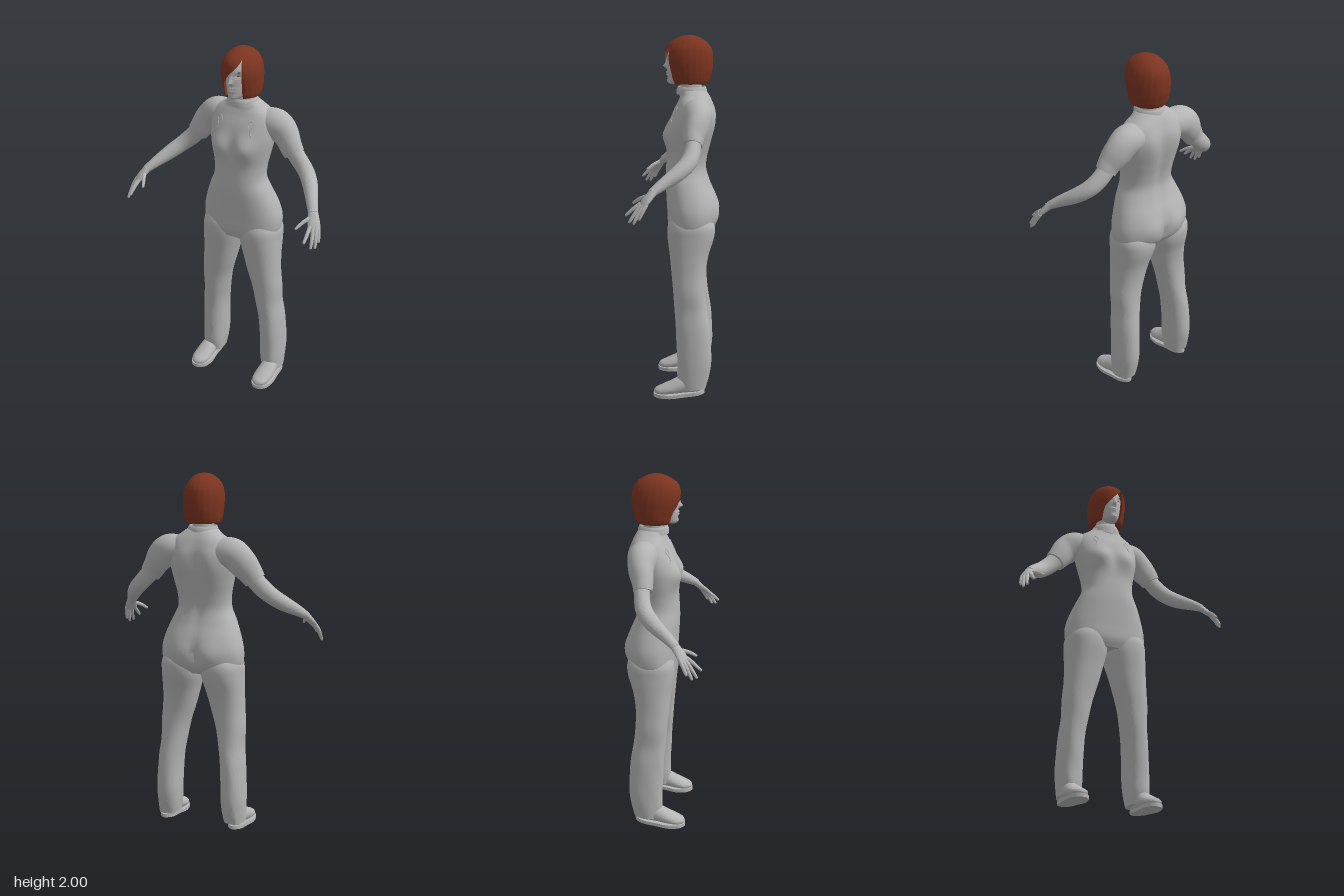
import * as THREE from 'three';
import { toCreasedNormals } from 'three/addons/utils/BufferGeometryUtils.js';

const mat = (name, color, side = THREE.FrontSide) => {
  const m = new THREE.MeshStandardMaterial({ color, side });
  m.name = name;
  return m;
};

// Smooth interpolation through the rows of a table, t in 0..1
function sample(rows, t) {
  const f = Math.min(Math.max(t, 0), 1) * (rows.length - 1);
  const i = Math.min(Math.floor(f), rows.length - 2), k = f - i;
  const at = j => rows[Math.min(Math.max(j, 0), rows.length - 1)];
  const [a, b, c, d] = [at(i - 1), at(i), at(i + 1), at(i + 2)];
  return b.map((_, n) => 0.5 * (2 * b[n] + (c[n] - a[n]) * k + (2 * a[n] - 5 * b[n] + 4 * c[n] - d[n]) * k * k
    + (3 * b[n] - a[n] - 3 * c[n] + d[n]) * k * k * k));
}

// Skin over rings of points: fn(u, v) -> [x, y, z]; closed rings get end caps
function skin(fn, nu, nv, closed = true) {
  const pos = [], idx = [], w = closed ? nu : nu + 1;
  for (let j = 0; j <= nv; j++) for (let i = 0; i < w; i++) pos.push(...fn(i / nu, j / nv));
  for (let j = 0; j < nv; j++) for (let i = 0; i < nu; i++) {
    const a = j * w + i, b = j * w + (i + 1) % w;
    idx.push(a, a + w, b, b, a + w, b + w);
  }
  if (closed) for (const j of [0, nv]) {
    const c = [0, 0, 0], n = pos.length / 3;
    for (let i = 0; i < w; i++) for (let k = 0; k < 3; k++) c[k] += pos[(j * w + i) * 3 + k] / w;
    pos.push(...c);
    for (let i = 0; i < w; i++) {
      const a = j * w + i, b = j * w + (i + 1) % w;
      if (j) idx.push(n, b, a); else idx.push(n, a, b);
    }
  }
  const g = new THREE.BufferGeometry();
  g.setAttribute('position', new THREE.Float32BufferAttribute(pos, 3));
  g.setIndex(idx);
  g.computeVertexNormals();
  return toCreasedNormals(g, 1);
}

const spow = (c, e) => Math.sign(c) * Math.abs(c) ** e;
const bump = (x, y, cx, cy, sx, sy) => Math.exp(-(((x - cx) / sx) ** 2) - ((y - cy) / sy) ** 2);

// Elliptical sweep: rows of x, y, z, radius upwards, radius sideways
function sweep(rows, nu = 24, nv = 30) {
  const up = new THREE.Vector3(0, 1, 0);
  return skin((u, v) => {
    const [x, y, z, r1, r2] = sample(rows, v);
    const p = sample(rows, v - 0.01), q = sample(rows, v + 0.01);
    const d = new THREE.Vector3(q[0] - p[0], q[1] - p[1], q[2] - p[2]).normalize();
    const s = d.clone().cross(up).normalize(), n = s.clone().cross(d), a = u * Math.PI * 2;
    return s.multiplyScalar(r2 * Math.cos(a)).addScaledVector(n, r1 * Math.sin(a))
      .add(new THREE.Vector3(x, y, z)).toArray();
  }, nu, nv);
}

// Mirrored copy across x with the winding put right
function mirror(geo) {
  const g = (geo.index ? geo.toNonIndexed() : geo.clone()).scale(-1, 1, 1);
  for (const key of ['position', 'normal']) {
    const a = g.attributes[key].array;
    for (let i = 0; i < a.length; i += 9) for (let k = 3; k < 6; k++)
      [a[i + k], a[i + k + 3]] = [a[i + k + 3], a[i + k]];
  }
  return g;
}

export function createModel() {
  const model = new THREE.Group();
  const grey = mat('bodyGrey', 0xb4b4b4);
  const red = mat('auburnHair', 0x7c3420, THREE.DoubleSide);
  const amber = mat('amberEye', 0xb0602c);
  const dark = mat('darkPupil', 0x2a2422);
  const add = (name, geo, m = grey) => {
    const mesh = new THREE.Mesh(geo, m);
    mesh.name = name;
    model.add(mesh);
    return mesh;
  };
  const pair = (name, geo, m) => {
    add(name + 'Left', geo, m);
    add(name + 'Right', mirror(geo), m);
  };

  // Torso: y, half width, front z, back z
  const torsoRows = [[0.91, 0.19, 0.03, -0.17], [0.96, 0.23, 0.05, -0.21], [1.04, 0.236, 0.055, -0.222],
    [1.12, 0.215, 0.06, -0.21], [1.2, 0.183, 0.064, -0.18], [1.27, 0.152, 0.062, -0.163],
    [1.34, 0.152, 0.058, -0.17], [1.42, 0.168, 0.058, -0.188], [1.5, 0.184, 0.052, -0.202],
    [1.58, 0.188, 0.025, -0.205], [1.64, 0.17, -0.005, -0.19], [1.68, 0.115, -0.02, -0.172], [1.71, 0.076, -0.012, -0.15]];
  const torso = add('torso', skin((u, v) => {
    const [y, w, f, b] = sample(torsoRows, v), a = u * Math.PI * 2;
    const x = w * spow(Math.cos(a), 0.87), s = spow(Math.sin(a), 0.87);
    let z = (f + b) / 2 + s * (f - b) / 2;
    const ax = Math.abs(x);
    if (s > 0) z += s * (0.03 * bump(ax, y, 0.085, 1.46, 0.06, 0.06) - 0.008 * bump(ax, y, 0, 1.47, 0.03, 0.08));
    else z += s * (0.02 * bump(ax, y, 0.09, 1.03, 0.07, 0.08) + 0.016 * bump(ax, y, 0.09, 1.54, 0.05, 0.09)
      - 0.012 * bump(ax, y, 0, 1.4, 0.025, 0.2) - 0.015 * bump(ax, y, 0, 1.0, 0.02, 0.09));
    return [x, y, z];
  }, 72, 80));

  // Chest trim laid on the torso
  const ray = new THREE.Raycaster();
  torso.updateMatrixWorld();
  const trim = [[0.088, 1.58], [0.083, 1.6], [0.095, 1.615], [0.11, 1.605], [0.108, 1.585], [0.098, 1.57], [0.103, 1.55], [0.112, 1.54]];
  const trimPts = trim.map(([x, y]) => {
    ray.set(new THREE.Vector3(x, y, 1), new THREE.Vector3(0, 0, -1));
    const hit = ray.intersectObject(torso)[0];
    return new THREE.Vector3(x, y, hit ? hit.point.z : 0);
  });
  pair('chestTrim', new THREE.TubeGeometry(new THREE.CatmullRomCurve3(trimPts), 40, 0.003, 6));

  // Trouser legs: y, inner x, outer x, front z, back z
  const legRows = [[0.05, 0.145, 0.262, -0.02, -0.17], [0.12, 0.135, 0.265, -0.01, -0.188], [0.2, 0.13, 0.266, -0.01, -0.2],
    [0.3, 0.128, 0.262, -0.005, -0.198], [0.4, 0.122, 0.256, 0, -0.19], [0.5, 0.105, 0.246, 0.008, -0.175],
    [0.6, 0.085, 0.249, 0.015, -0.165], [0.7, 0.055, 0.242, 0.025, -0.165], [0.8, 0.028, 0.238, 0.035, -0.18],
    [0.9, 0.003, 0.236, 0.048, -0.21], [0.97, 0.003, 0.232, 0.046, -0.212], [1.03, 0.02, 0.2, 0.02, -0.18]];
  pair('trouserLeg', skin((u, v) => {
    const [y, i, o, f, b] = sample(legRows, v), a = u * Math.PI * 2;
    const fold = 1 + 0.025 * Math.max(0, 1 - y / 0.7) * Math.sin(5 * a + 14 * y) * Math.sin(9 * y + 1);
    return [(i + o) / 2 + fold * (o - i) / 2 * spow(Math.cos(a), 0.88), y,
      (f + b) / 2 + fold * (f - b) / 2 * spow(Math.sin(a), 0.88)];
  }, 48, 70));

  // Shoes: flat sole lifted at the heel, and a rounded upper
  const outline = [[0.212, 0.124], [0.255, 0.1], [0.27, 0.04], [0.262, -0.05], [0.25, -0.13], [0.212, -0.165],
    [0.175, -0.13], [0.166, -0.05], [0.154, 0.04], [0.17, 0.1]];
  const curve = new THREE.CatmullRomCurve3(outline.map(([x, z]) => new THREE.Vector3(x, -z, 0)), true);
  const soleShape = new THREE.Shape(curve.getPoints(48).slice(0, -1).map(p => new THREE.Vector2(p.x, p.y)));
  const sole = new THREE.ExtrudeGeometry(soleShape, { depth: 0.02, bevelEnabled: false }).rotateX(-Math.PI / 2);
  const sp = sole.attributes.position;
  for (let i = 0; i < sp.count; i++)
    sp.setY(i, sp.getY(i) + 0.02 * THREE.MathUtils.clamp((0.02 - sp.getZ(i)) / 0.18, 0, 1));
  sole.computeVertexNormals();
  pair('shoeSole', toCreasedNormals(sole, 0.7));
  pair('shoeUpper', sweep([[0.212, 0.06, -0.158, 0.02, 0.015], [0.212, 0.067, -0.13, 0.042, 0.036], [0.212, 0.07, -0.05, 0.05, 0.045],
    [0.212, 0.05, 0.02, 0.038, 0.053], [0.212, 0.036, 0.07, 0.028, 0.051], [0.212, 0.03, 0.103, 0.02, 0.036],
    [0.212, 0.025, 0.119, 0.008, 0.012]]));

  // Sleeves, arms and hands
  pair('sleeve', sweep([[0.09, 1.585, -0.11, 0.07, 0.075], [0.18, 1.585, -0.115, 0.084, 0.08], [0.24, 1.54, -0.115, 0.08, 0.068],
    [0.285, 1.48, -0.1, 0.067, 0.056], [0.31, 1.443, -0.096, 0.06, 0.05]], 36, 36));
  pair('arm', sweep([[0.28, 1.48, -0.1, 0.05, 0.042], [0.345, 1.41, -0.095, 0.049, 0.042], [0.4, 1.36, -0.073, 0.045, 0.044],
    [0.45, 1.315, -0.023, 0.041, 0.041], [0.5, 1.268, 0.05, 0.031, 0.032], [0.538, 1.23, 0.105, 0.021, 0.026]], 28, 40));
  pair('palm', sweep([[0.53, 1.24, 0.092, 0.021, 0.025], [0.545, 1.215, 0.115, 0.018, 0.03],
    [0.56, 1.188, 0.137, 0.015, 0.034], [0.573, 1.165, 0.154, 0.009, 0.03]], 24, 16));
  const fingers = {
    indexFinger: [[0.55, 1.18, 0.16], [0.555, 1.15, 0.2], [0.556, 1.118, 0.236]],
    middleFinger: [[0.565, 1.175, 0.155], [0.58, 1.13, 0.19], [0.587, 1.088, 0.217]],
    ringFinger: [[0.576, 1.175, 0.143], [0.593, 1.125, 0.173], [0.6, 1.083, 0.194]],
    littleFinger: [[0.583, 1.18, 0.128], [0.598, 1.14, 0.15], [0.605, 1.105, 0.166]],
    thumb: [[0.535, 1.215, 0.125], [0.51, 1.195, 0.168], [0.49, 1.17, 0.204]],
  };
  for (const [name, [a, b, c]] of Object.entries(fingers)) {
    const tip = c.map((n, k) => n + (n - b[k]) * 0.06);
    pair(name, sweep([[...a, 0.011, 0.011], [...b, 0.01, 0.01], [...c, 0.007, 0.007], [...tip, 0.002, 0.002]], 12, 14));
  }

  // Neck and collar
  add('neck', new THREE.CylinderGeometry(0.055, 0.062, 0.14, 32).translate(0, 1.74, -0.075));
  add('collar', new THREE.LatheGeometry([[0.084, 1.68], [0.083, 1.705], [0.076, 1.722], [0.07, 1.722], [0.068, 1.69]]
    .map(([x, y]) => new THREE.Vector2(x, y)), 40).translate(0, 0, -0.08));

  // Head: y, half width, front z, back z, with features raised on the face
  const headRows = [[1.735, 0.02, 0.04, -0.03], [1.745, 0.036, 0.05, -0.05], [1.775, 0.052, 0.053, -0.1], [1.81, 0.064, 0.054, -0.14],
    [1.85, 0.072, 0.054, -0.16], [1.9, 0.076, 0.05, -0.165], [1.95, 0.062, 0.02, -0.14], [1.975, 0.03, -0.02, -0.1]];
  add('head', skin((u, v) => {
    const [y, w, f, b] = sample(headRows, v), a = u * Math.PI * 2, x = w * Math.cos(a), s = Math.sin(a);
    let z = (f + b) / 2 + s * (f - b) / 2;
    if (s > 0) z += 0.02 * bump(x, y, 0, 1.832, 0.011, 0.012) + 0.011 * bump(x, y, 0, 1.855, 0.009, 0.022)
      + 0.008 * bump(x, y, 0, 1.798, 0.02, 0.005) + 0.008 * bump(x, y, 0, 1.785, 0.018, 0.005)
      + 0.005 * bump(x, y, 0, 1.752, 0.018, 0.01) - 0.009 * bump(Math.abs(x), y, 0.034, 1.87, 0.015, 0.01);
    return [x, y, z];
  }, 96, 90));
  const disc = (r, z, sy) => new THREE.SphereGeometry(r, 16, 10).scale(1, sy, 0.4).rotateY(0.4).translate(0.034, 1.868, z);
  pair('eye', disc(0.011, 0.031, 0.5), amber);
  pair('pupil', disc(0.004, 0.035, 1), dark);
  pair('eyebrow', new THREE.CapsuleGeometry(0.0025, 0.022, 3, 8).rotateZ(Math.PI / 2 + 0.12).rotateY(0.4).translate(0.035, 1.888, 0.038), dark);

  // Bobbed hair: y, half width, front z, back z, and x of the two edges framing the face
  const hairRows = [[1.76, 0.05, -0.02, -0.12, -0.04, 0.035], [1.738, 0.088, 0.02, -0.165, -0.056, 0.05], [1.755, 0.1, 0.035, -0.178, -0.058, 0.052],
    [1.79, 0.106, 0.045, -0.188, -0.056, 0.055], [1.82, 0.108, 0.055, -0.194, -0.048, 0.058], [1.87, 0.109, 0.066, -0.196, -0.01, 0.06],
    [1.92, 0.1, 0.064, -0.19, 0.035, 0.058], [1.955, 0.082, 0.045, -0.168, 0.05, 0.05], [1.98, 0.058, 0.008, -0.135, 0.03, 0.03],
    [1.995, 0.03, -0.028, -0.1, 0.015, 0.015], [2, 0.001, -0.062, -0.066, 0, 0]];
  add('hair', skin((u, v) => {
    const [y, w, f, b, xl, xr] = sample(hairRows, v);
    const edge = x => Math.acos(THREE.MathUtils.clamp(x / w, -0.95, 0.95));
    const a0 = edge(Math.min(xl, xr)), a1 = edge(xr) + Math.PI * 2, a = a0 + (a1 - a0) * u;
    const r = 1 + 0.008 * Math.sin(22 * a + 8 * y);
    return [r * w * Math.cos(a), y, (f + b) / 2 + r * (f - b) / 2 * Math.sin(a)];
  }, 110, 64, false), red);

  return model;
}
